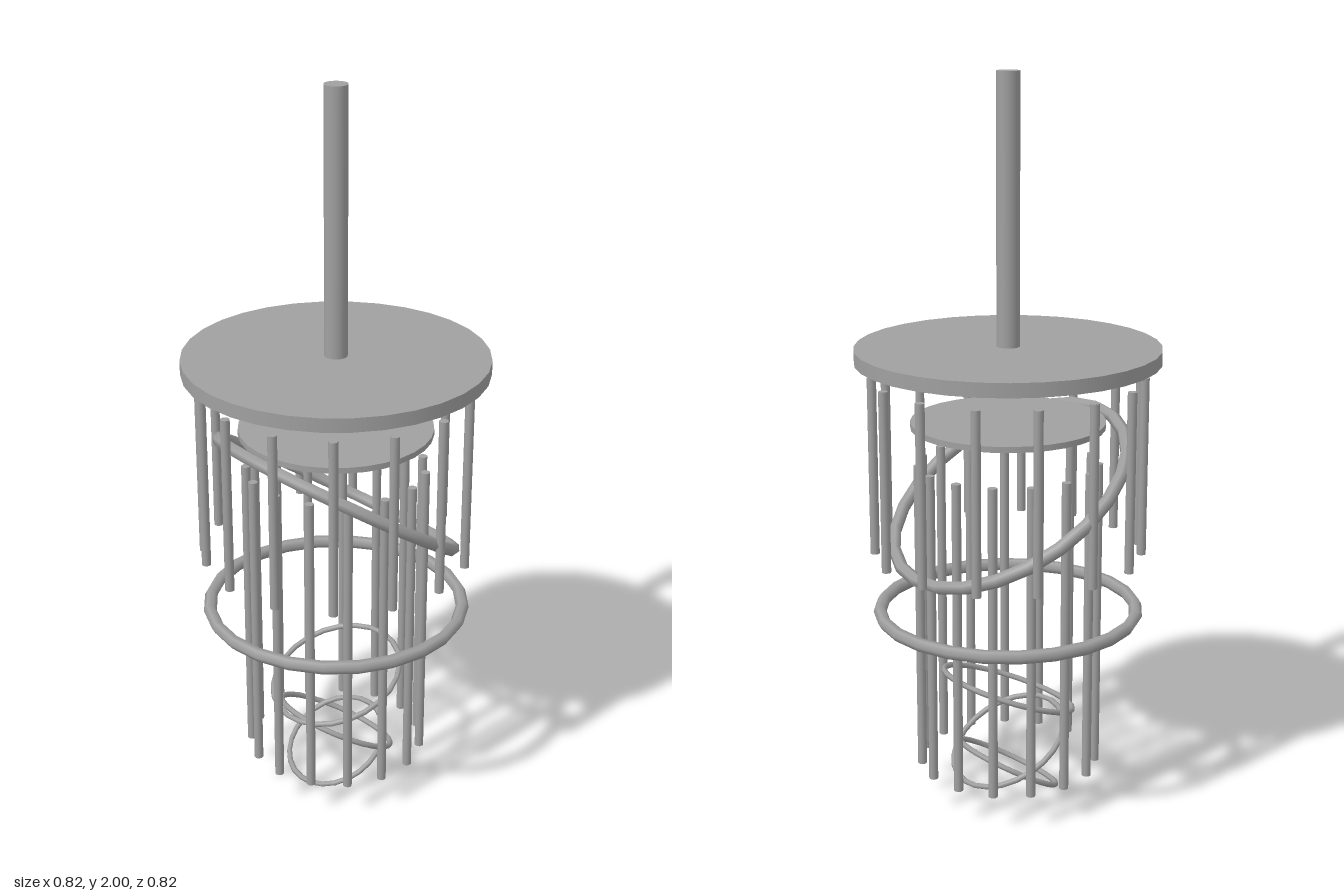
import * as THREE from 'three';

export function createModel() {
  const model = new THREE.Group();
  const metal = new THREE.MeshStandardMaterial({ color: 0xa0a0a0 });
  metal.name = 'grey metal';

  function cylinder(name, radius, bottom, top, sides, x = 0, z = 0) {
    const geometry = new THREE.CylinderGeometry(radius, radius, top - bottom, sides);
    const mesh = new THREE.Mesh(geometry, metal);
    mesh.name = name;
    mesh.position.set(x, (top + bottom) / 2, z);
    model.add(mesh);
  }

  // Hanging bars spaced around a circle; angles run from +z towards +x
  function barCircle(name, count, start, step, radius, bottom, top) {
    for (let i = 0; i < count; i++) {
      const a = THREE.MathUtils.degToRad(start + i * step);
      cylinder(name, 0.0125, bottom, top, 12, radius * Math.sin(a), radius * Math.cos(a));
    }
  }

  // Hoop lying flat, then tilted so its front edge rises by the given degrees
  function hoop(name, radius, tube, y, tilt) {
    const geometry = new THREE.TorusGeometry(radius, tube, 6, 24);
    geometry.rotateX(Math.PI / 2 - THREE.MathUtils.degToRad(tilt));
    const mesh = new THREE.Mesh(geometry, metal);
    mesh.name = name;
    mesh.position.y = y;
    model.add(mesh);
  }

  // Stem and plates
  cylinder('stem', 0.031, 1.28, 2, 32);
  cylinder('topPlate', 0.408, 1.25, 1.288, 32);
  cylinder('innerPlate', 0.262, 1.07, 1.086, 32);

  // Hanging bars
  barCircle('outerBar', 15, -24.75, 24.75, 0.362, 0.716, 1.207);
  barCircle('innerBar', 15, 10, 24, 0.243, 0.1, 0.97);

  // Hoops
  hoop('upperTiltedHoop', 0.352, 0.018, 0.885, 33.4);
  hoop('levelHoop', 0.352, 0.018, 0.551, 0);
  hoop('smallHoopTop', 0.188, 0.008, 0.31, -21);
  hoop('smallHoopMiddle', 0.17, 0.008, 0.152, 30);
  hoop('smallHoopBottom', 0.148, 0.008, 0.084, -30);

  return model;
}
